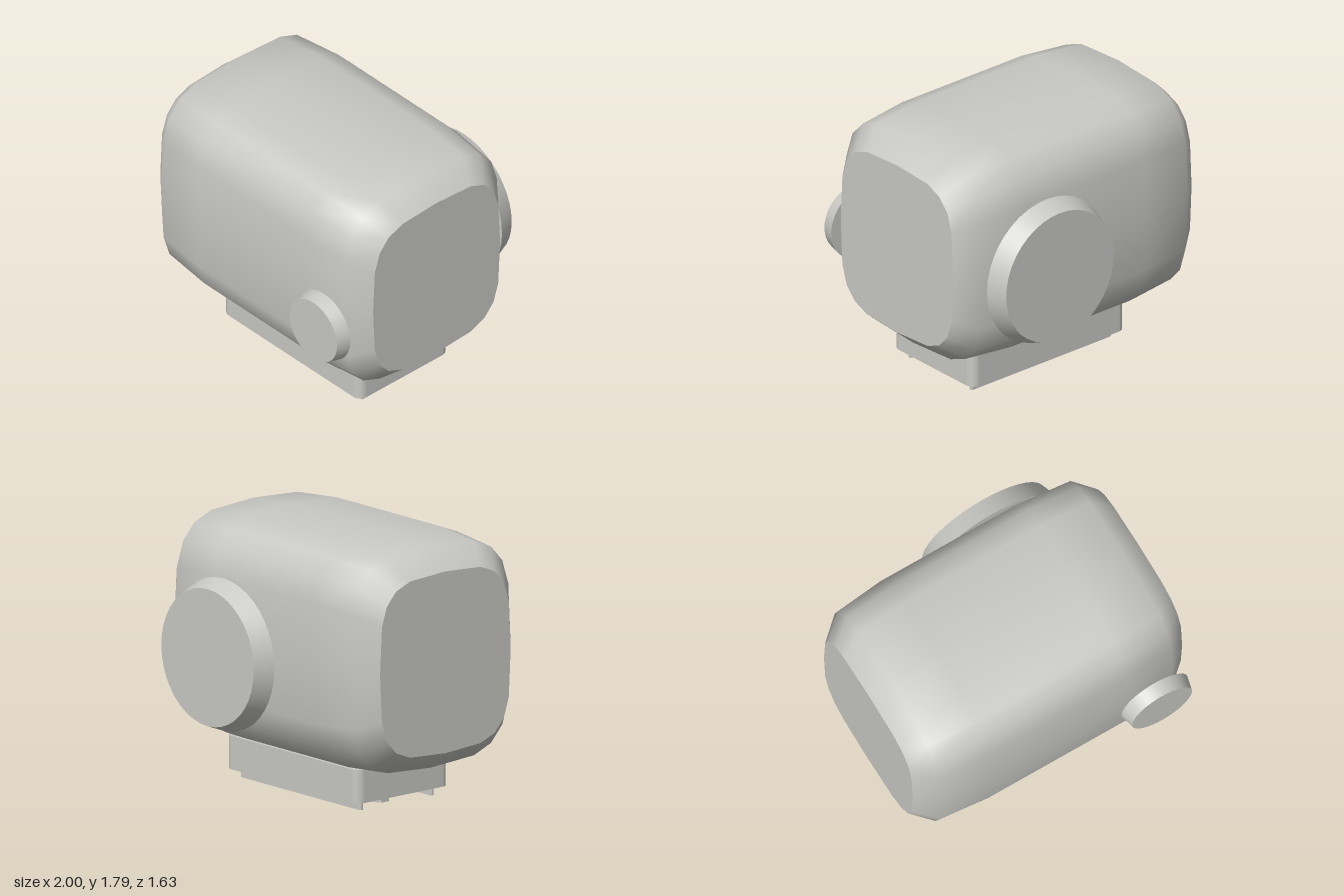
import * as THREE from 'three';

const grey = new THREE.MeshStandardMaterial({ color: 0xc8c8c4 });
grey.name = 'warm grey';

const CZ = 0.02; // depth centre of the body

function add(group, name, geometry, x = 0, y = 0, z = 0) {
  const mesh = new THREE.Mesh(geometry, grey);
  mesh.name = name;
  mesh.position.set(x, y, z);
  group.add(mesh);
  return mesh;
}

// One quarter of the body's cross-section (z, y), mirrored to a closed ring
function bodyRing() {
  const q = [[0, 0.753], [0.38, 0.73], [0.53, 0.67], [0.63, 0.56], [0.683, 0.395], [0.703, 0]];
  const half = [...q, ...q.slice(0, -1).reverse().map(([z, y]) => [z, -y])];
  return [...half, ...half.slice(1, -1).reverse().map(([z, y]) => [-z, y])];
}

// Smooth shell lofted along x through scaled rings
function shellGeometry(ring, stations) {
  const n = ring.length, pos = [], index = [];
  for (const [x, sz, sy, cy] of stations) {
    for (const [z, y] of ring) pos.push(x, cy + y * sy, CZ + z * sz);
  }
  for (let i = 0; i < stations.length - 1; i++) {
    for (let j = 0; j < n; j++) {
      const k = (j + 1) % n;
      const a = i * n + j, b = a + n, c = i * n + k, d = c + n;
      index.push(a, c, b, b, c, d);
    }
  }
  const g = new THREE.BufferGeometry();
  g.setAttribute('position', new THREE.Float32BufferAttribute(pos, 3));
  g.setIndex(index);
  g.computeVertexNormals();
  return g;
}

// Upright slab with rounded vertical corners, standing on y = 0
function slab(w, d, h, r) {
  const x = w / 2, y = d / 2, s = new THREE.Shape();
  s.absarc(x - r, y - r, r, 0, Math.PI / 2);
  s.absarc(-x + r, y - r, r, Math.PI / 2, Math.PI);
  s.absarc(-x + r, -y + r, r, Math.PI, Math.PI * 1.5);
  s.absarc(x - r, -y + r, r, Math.PI * 1.5, Math.PI * 2);
  const g = new THREE.ExtrudeGeometry(s, { depth: h, bevelEnabled: false, curveSegments: 5 });
  return g.rotateX(-Math.PI / 2);
}

export function createModel() {
  const model = new THREE.Group();
  model.name = 'device';

  // Body: station = [x, depth scale, height scale, centre height]
  const ring = bodyRing();
  const end = [1, 0.782, 0.792, 1.028];
  const shoulder = [0.86, 0.952, 0.962, 1.035];
  const middle = [0.5, 1, 1, 1.037];
  const right = [end, shoulder, middle].map(([x, ...rest]) => [-x, ...rest]);
  add(model, 'bodyShell', shellGeometry(ring, [...right, middle, shoulder, end]));

  // Flat end caps
  for (const side of [1, -1]) {
    const outline = ring.map(([z, y]) => new THREE.Vector2(z * end[1], y * end[2]));
    const cap = new THREE.ShapeGeometry(new THREE.Shape(outline));
    cap.rotateY(side * Math.PI / 2);
    add(model, side > 0 ? 'leftEndCap' : 'rightEndCap', cap, side, end[3], CZ);
  }

  // Small tapered button in front, large tapered disc behind
  const button = new THREE.CylinderGeometry(0.222, 0.245, 0.093, 40).rotateX(Math.PI / 2);
  add(model, 'frontButton', button, 0.705, 0.85, 0.768);
  const disc = new THREE.CylinderGeometry(0.45, 0.5, 0.13, 40).rotateX(-Math.PI / 2);
  add(model, 'backDisc', disc, 0.35, 0.94, -0.75);

  // Foot block with two rails and a hexagonal stud underneath
  add(model, 'footBlock', slab(1.29, 0.776, 0.22, 0.06), 0.055, 0.08, 0.022);
  for (const s of [1, -1]) {
    add(model, s > 0 ? 'frontRail' : 'backRail', slab(1.17, 0.03, 0.065, 0.012), 0.055, 0.018, 0.022 + s * 0.297);
  }
  add(model, 'hexStud', new THREE.CylinderGeometry(0.064, 0.064, 0.085, 6).toNonIndexed(), -0.355, 0.0425, 0.022)
    .geometry.computeVertexNormals();

  return model;
}
